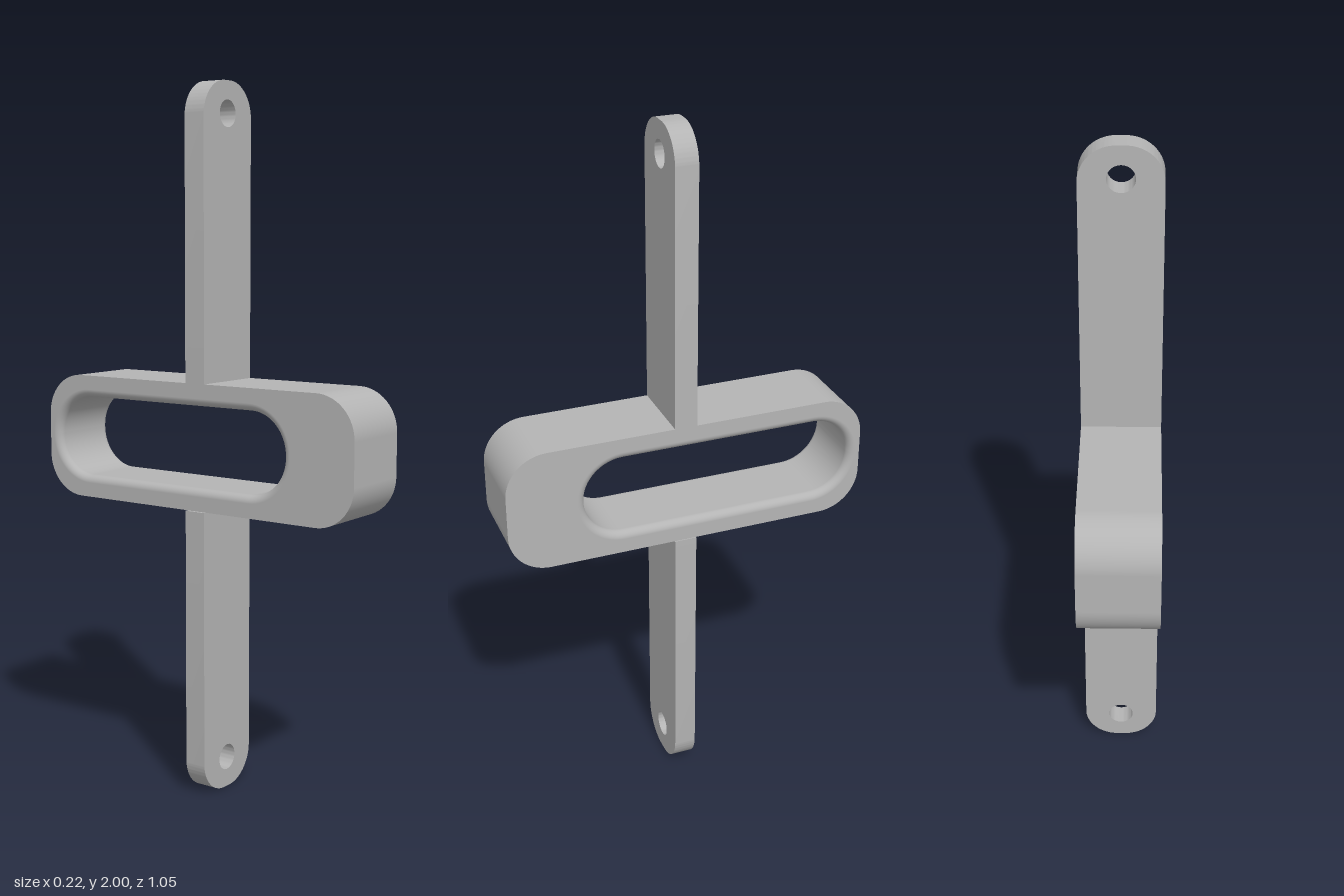
import * as THREE from 'three';
import { toCreasedNormals } from 'three/addons/utils/BufferGeometryUtils.js';

const HALF_W = 0.11; // half width of the whole part along x
const ARC = 16; // segments per rounded corner

// Rounded rectangle centred on (u, 0): points with their outward angles
function roundedRect(u, halfL, halfH, r, grow = 0) {
  const points = [];
  const signs = [[1, 1], [-1, 1], [-1, -1], [1, -1]];
  signs.forEach(([su, sv], corner) => {
    for (let i = 0; i <= ARC; i++) {
      const a = (corner + i / ARC) * Math.PI / 2;
      points.push({
        a,
        u: u + su * (halfL - r) + (r + grow) * Math.cos(a),
        v: sv * (halfH - r) + (r + grow) * Math.sin(a),
      });
    }
  });
  return points;
}

const toPath = (points) => points.map((p) => new THREE.Vector2(p.u, p.v));

// Wall along w through sections {grow, w, nr, nw}; nr, nw give the normal
function wall(rect, sections, inward) {
  const pos = [], nor = [], index = [];
  let n = 0;
  for (const s of sections) {
    const ring = roundedRect(...rect, s.grow);
    n = ring.length;
    for (const p of ring) {
      pos.push(p.u, p.v, s.w);
      nor.push(s.nr * Math.cos(p.a), s.nr * Math.sin(p.a), s.nw);
    }
  }
  for (let j = 0; j < sections.length - 1; j++) {
    for (let i = 0; i < n; i++) {
      const a = j * n + i, b = j * n + (i + 1) % n, c = a + n, d = b + n;
      if (inward) index.push(a, c, b, b, c, d);
      else index.push(a, b, c, b, d, c);
    }
  }
  const geo = new THREE.BufferGeometry();
  geo.setAttribute('position', new THREE.Float32BufferAttribute(pos, 3));
  geo.setAttribute('normal', new THREE.Float32BufferAttribute(nor, 3));
  geo.setIndex(index);
  return geo;
}

export function createModel() {
  const model = new THREE.Group();
  model.name = 'slottedBracket';
  const grey = new THREE.MeshStandardMaterial({ color: 0xb4b4b4 });
  grey.name = 'grey';

  const add = (parent, name, geo) => {
    const mesh = new THREE.Mesh(geo, grey);
    mesh.name = name;
    parent.add(mesh);
    return mesh;
  };

  // Slotted block, drawn in a side plane and turned so that u = -z, w = x
  const block = new THREE.Group();
  block.name = 'slottedBlock';
  block.position.y = 1.002;
  block.rotation.y = Math.PI / 2;
  model.add(block);

  const outer = [0, 0.523, 0.178, 0.118];
  const slot = [0.0925, 0.3955, 0.115, 0.113];
  const fillet = 0.022;

  // Outer wall
  add(block, 'outerWall', wall(outer, [
    { grow: 0, w: -HALF_W, nr: 1, nw: 0 },
    { grow: 0, w: HALF_W, nr: 1, nw: 0 },
  ], false));

  // Slot wall with filleted rims
  const sections = [];
  for (const side of [-1, 1]) {
    for (let i = 0; i <= 8; i++) {
      const t = (side < 0 ? 1 - i / 8 : i / 8) * Math.PI / 2;
      sections.push({
        grow: fillet * (1 - Math.cos(t)),
        w: side * (HALF_W - fillet + fillet * Math.sin(t)),
        nr: -Math.cos(t),
        nw: side * Math.sin(t),
      });
    }
  }
  add(block, 'slotWall', wall(slot, sections, true));

  // Flat side faces
  const face = new THREE.Shape(toPath(roundedRect(...outer)));
  face.holes.push(new THREE.Path(toPath(roundedRect(...slot, fillet))));
  const faceGeo = new THREE.ShapeGeometry(face);
  add(block, 'leftFace', faceGeo.clone().translate(0, 0, HALF_W));
  add(block, 'rightFace', faceGeo.clone().rotateX(Math.PI).translate(0, 0, -HALF_W));

  // Mounting straps with rounded ends and a screw hole, measured from y = 1
  const r = 0.098;
  const strap = new THREE.Shape();
  strap.moveTo(-HALF_W, 0.178);
  strap.lineTo(HALF_W, 0.178);
  strap.lineTo(HALF_W, 1 - r);
  strap.absarc(HALF_W - r, 1 - r, r, 0, Math.PI / 2, false);
  strap.absarc(-HALF_W + r, 1 - r, r, Math.PI / 2, Math.PI, false);
  strap.closePath();
  const hole = new THREE.Path();
  hole.absarc(0, 0.912, 0.037, 0, Math.PI * 2, true);
  strap.holes.push(hole);
  const strapGeo = toCreasedNormals(new THREE.ExtrudeGeometry(strap, {
    depth: 0.064, bevelEnabled: false, curveSegments: 20,
  }), 0.6).translate(0, 0, -0.021);

  add(model, 'upperStrap', strapGeo).position.y = 1;
  const lower = add(model, 'lowerStrap', strapGeo);
  lower.position.y = 1;
  lower.rotation.z = Math.PI;

  return model;
}
